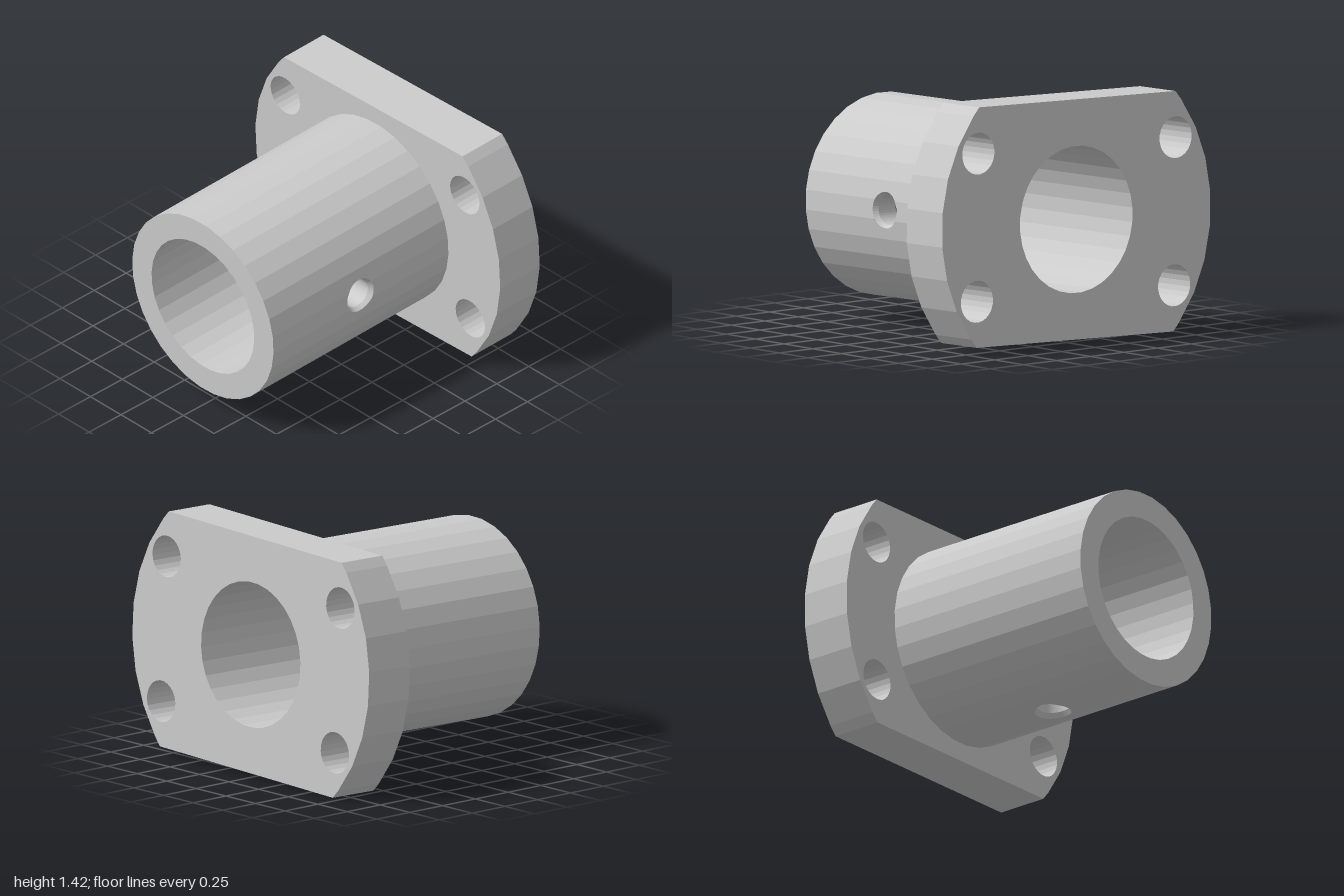
import * as THREE from 'three';

const SEG = 32, STEP = (Math.PI * 2) / SEG;
const R_TUBE = 0.578, R_BORE = 0.42, R_FLANGE = 1.002;
const HALF_H = 0.685, HALF_T = 0.155;      // flange half height and half thickness
const Z_FRONT = 1.5275, Z_HOLE = 0.842;    // tube end and cross-hole position
const R_MOUTH = 0.104, R_HOLE = 0.087, CHAMFER = 0.03;
// outward direction d and tangent t of each cross hole
const HOLES = [
  { d: [1, 0], t: [0, 1] },
  { d: [0, -1], t: [1, 0] },
];

const material = new THREE.MeshStandardMaterial({ color: 0xcccccc, flatShading: true });

function mesh(geometry, name) {
  const m = new THREE.Mesh(geometry, material);
  m.name = name;
  return m;
}

function fromPositions(pos) {
  const g = new THREE.BufferGeometry();
  g.setAttribute('position', new THREE.Float32BufferAttribute(pos, 3));
  g.computeVertexNormals();
  return g;
}

const quad = (out, a, b, c, d) => out.push(...a, ...b, ...c, ...a, ...c, ...d);
const dot = (a, b) => a[0] * b[0] + a[1] * b[1];
const onCircle = (r, a) => [r * Math.cos(a), r * Math.sin(a)];

function circlePath(r, n, cx = 0, cy = 0) {
  const pts = [];
  for (let i = 0; i < n; i++) {
    const [x, y] = onCircle(r, ((i + 0.5) * Math.PI * 2) / n);
    pts.push(new THREE.Vector2(cx + x, cy + y));
  }
  return new THREE.Path(pts);
}

// Faceted wall along z, with each cross hole cut out of the facets it meets
function tubeWall(radius, holeRadius, inward) {
  const out = [];
  const strip = (p, q, z0p, z0q, z1p, z1q) => {
    const c = [[...p, z0p], [...q, z0q], [...q, z1q], [...p, z1p]];
    if (inward) c.reverse();
    quad(out, ...c);
  };
  for (let i = 0; i < SEG; i++) {
    const a = onCircle(radius, (i + 0.5) * STEP), b = onCircle(radius, (i + 1.5) * STEP);
    const hole = HOLES.find(h => dot(a, h.d) > radius * 0.7 && dot(b, h.d) > radius * 0.7);
    if (!hole) {
      strip(a, b, HALF_T, HALF_T, Z_FRONT, Z_FRONT);
      continue;
    }
    const ua = dot(a, hole.t), ub = dot(b, hole.t);
    const us = [ua];
    for (let k = -10; k <= 10; k++) {
      const u = holeRadius * Math.sin((k * Math.PI) / 20);
      if (u > ua + 1e-5 && u < ub - 1e-5) us.push(u);
    }
    us.push(ub);
    const cols = us.map(u => {
      const f = (u - ua) / (ub - ua);
      return {
        p: [a[0] + (b[0] - a[0]) * f, a[1] + (b[1] - a[1]) * f],
        gap: Math.sqrt(Math.max(0, holeRadius ** 2 - u * u)),
      };
    });
    for (let k = 0; k < cols.length - 1; k++) {
      const l = cols[k], r = cols[k + 1];
      strip(l.p, r.p, HALF_T, HALF_T, Z_HOLE - l.gap, Z_HOLE - r.gap);
      strip(l.p, r.p, Z_HOLE + l.gap, Z_HOLE + r.gap, Z_FRONT, Z_FRONT);
    }
  }
  return fromPositions(out);
}

// Height of the faceted wall above the axis, at sideways offset u
function wallHeight(radius, u) {
  const [h0, u0] = onCircle(radius, STEP / 2), [h1, u1] = onCircle(radius, STEP * 1.5);
  const s = Math.abs(u);
  return s < u0 ? h0 : h0 + ((h1 - h0) * (s - u0)) / (u1 - u0);
}

// Chamfered mouth and straight lining of a cross hole
function holeLining({ d, t }) {
  const out = [], n = 40;
  const rows = [[R_MOUTH, R_TUBE, 0], [R_HOLE, R_TUBE, CHAMFER], [R_HOLE, R_BORE, 0]];
  const point = ([r, wall, depth], k) => {
    const [u, w] = onCircle(r, (k * Math.PI * 2) / n);
    const h = wallHeight(wall, u) - depth;
    return [d[0] * h + t[0] * u, d[1] * h + t[1] * u, Z_HOLE + w];
  };
  for (let j = 0; j < rows.length - 1; j++)
    for (let k = 0; k < n; k++)
      quad(out, point(rows[j], k), point(rows[j], k + 1), point(rows[j + 1], k + 1), point(rows[j + 1], k));
  return fromPositions(out);
}

// Round plate with flat top and bottom, bore and four bolt holes
function flangeGeometry() {
  const corner = Math.asin(HALF_H / R_FLANGE);
  const angles = [-corner];
  for (let k = -4; k < 4; k++) angles.push((k + 0.5) * STEP);
  angles.push(corner);
  const outline = [0, Math.PI].flatMap(turn =>
    angles.map(a => new THREE.Vector2(...onCircle(R_FLANGE, a + turn))));
  const shape = new THREE.Shape(outline);
  shape.holes.push(circlePath(R_BORE, SEG));
  for (const sx of [-1, 1])
    for (const sy of [-1, 1]) shape.holes.push(circlePath(0.12, 24, sx * 0.735, sy * 0.422));
  const g = new THREE.ExtrudeGeometry(shape, { depth: HALF_T * 2, bevelEnabled: false });
  return g.translate(0, 0, -HALF_T);
}

export function createModel() {
  const nut = new THREE.Group();
  nut.name = 'flangedSleeve';
  nut.add(mesh(flangeGeometry(), 'flange'));
  nut.add(mesh(tubeWall(R_TUBE, R_MOUTH, false), 'tubeOuterWall'));
  nut.add(mesh(tubeWall(R_BORE, R_HOLE, true), 'tubeBore'));
  const rim = new THREE.RingGeometry(R_BORE, R_TUBE, SEG, 1, STEP / 2);
  nut.add(mesh(rim.translate(0, 0, Z_FRONT), 'tubeRim'));
  HOLES.forEach((h, i) => nut.add(mesh(holeLining(h), ['sideHole', 'bottomHole'][i])));

  // The whole part sits slightly tilted and rolled
  nut.position.set(0, 0.7115, -0.68);
  nut.rotation.set(0.0217, 0, 0.031);

  const model = new THREE.Group();
  model.name = 'model';
  model.add(nut);
  return model;
}
